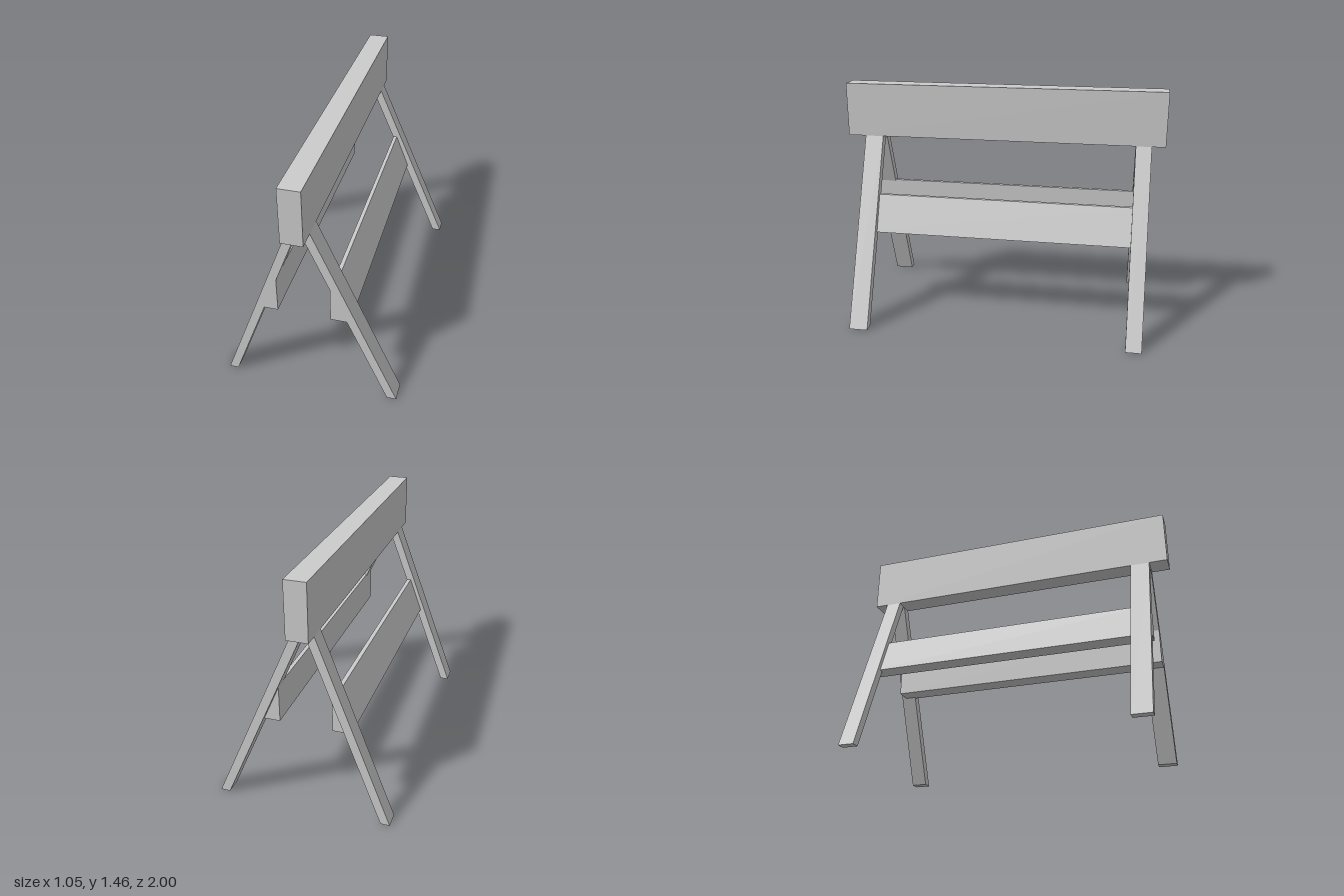
import * as THREE from 'three';

const material = new THREE.MeshStandardMaterial({ color: 0xcccccc, flatShading: true });

// Extrudes an x-y outline from zBack to zFront.
function prism(name, points, zBack, zFront) {
  const shape = new THREE.Shape(points.map(([x, y]) => new THREE.Vector2(x, y)));
  const geometry = new THREE.ExtrudeGeometry(shape, { depth: zFront - zBack, bevelEnabled: false });
  geometry.translate(0, 0, zBack);
  const mesh = new THREE.Mesh(geometry, material);
  mesh.name = name;
  return mesh;
}

export function createModel() {
  const group = new THREE.Group();
  group.name = 'sawhorse';
  const beamBottom = 1.127, beamTop = 1.46;

  // Top beam
  group.add(prism('topBeam', [
    [-0.1, beamBottom], [0.025, beamBottom], [0.025, beamTop], [-0.1, beamTop],
  ], -1, 1));

  // Splayed legs: x ranges at the floor and under the beam
  const sides = [
    { side: 'right', foot: [-0.524, -0.47], head: [-0.1, -0.046] },
    { side: 'left', foot: [0.464, 0.521], head: [-0.032, 0.025] },
  ];
  const ends = [
    { end: 'Front', z: [0.772, 0.888] },
    { end: 'Back', z: [-0.917, -0.821] },
  ];
  for (const { side, foot, head } of sides) {
    for (const { end, z } of ends) {
      group.add(prism(`${side}${end}Leg`, [
        [foot[0], 0], [foot[1], 0], [head[1], beamBottom], [head[0], beamBottom],
      ], z[0], z[1]));
    }
  }

  // Side rails: upright inside face, outside face sloped with the legs
  const railBottom = 0.551, railTop = 0.776;
  group.add(prism('rightRail', [
    [-0.29, railBottom], [-0.181, railBottom], [-0.181, railTop], [-0.206, railTop],
  ], -0.888, 0.888));
  group.add(prism('leftRail', [
    [0.127, railBottom], [0.24, railBottom], [0.15, railTop], [0.127, railTop],
  ], -0.888, 0.888));

  return group;
}
